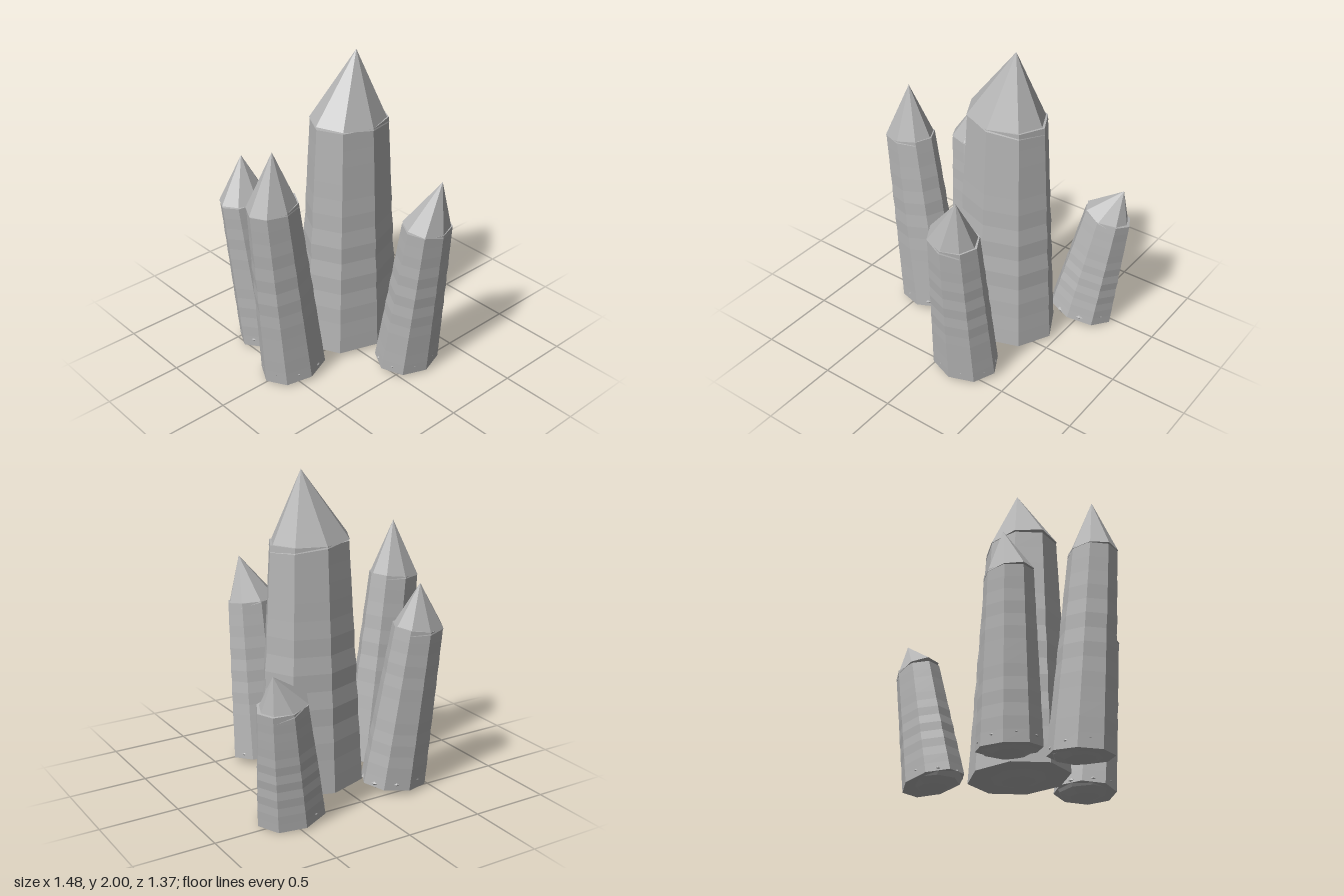
import * as THREE from 'three';

const UP = new THREE.Vector3(0, 1, 0);
const stone = new THREE.MeshStandardMaterial({ color: 0xb4b4b4, flatShading: true });
stone.name = 'grey crystal';

// base, top and tip are points; radii are along x, depth is narrower
const CRYSTALS = [
  { name: 'mainCrystal', base: [0.11, 0.03, -0.08], top: [0.115, 1.57, -0.075], tip: [0.17, 2, -0.075], rBase: 0.36, rTop: 0.265, root: [0.25, 0.2] },
  { name: 'leftCrystal', base: [-0.435, 0.03, 0], top: [-0.57, 1.255, 0.015], tip: [-0.565, 1.6, 0.02], rBase: 0.225, rTop: 0.169 },
  { name: 'backLeftCrystal', base: [-0.31, 0.035, -0.39], top: [-0.415, 1.055, -0.467], tip: [-0.4, 1.33, -0.5], rBase: 0.222, rTop: 0.169 },
  { name: 'backRightCrystal', base: [0.475, 0.035, -0.46], top: [0.578, 0.77, -0.55], tip: [0.66, 0.965, -0.59], rBase: 0.225, rTop: 0.163 },
  { name: 'frontCrystal', base: [0.165, 0.035, 0.425], top: [0.18, 1.06, 0.548], tip: [0.24, 1.35, 0.6], rBase: 0.225, rTop: 0.169 },
];
const DEPTH = 0.81;

// Tapered eight-sided column with faint growth bands
function bodyGeometry(rTop, rBase, height, phase) {
  const g = new THREE.CylinderGeometry(rTop, rBase, height, 8, 14);
  const p = g.attributes.position;
  for (let i = 0; i < p.count; i++) {
    const t = p.getY(i) / height + 0.5;
    const s = 1 + 0.012 * Math.sin(t * 40 + phase) * Math.sin(t * Math.PI);
    p.setX(i, p.getX(i) * s);
    p.setZ(i, p.getZ(i) * s * DEPTH);
  }
  return g.translate(0, height / 2, 0);
}

function makeCrystal(c, index) {
  const group = new THREE.Group();
  group.name = c.name;
  const [base, top, tip] = [c.base, c.top, c.tip].map(v => new THREE.Vector3(...v));
  const add = (name, geometry, position, axis) => {
    const mesh = new THREE.Mesh(geometry, stone);
    mesh.name = name;
    mesh.position.copy(position);
    if (axis) mesh.quaternion.setFromUnitVectors(UP, axis.normalize());
    group.add(mesh);
  };

  const axis = top.clone().sub(base);
  add('body', bodyGeometry(c.rTop, c.rBase, axis.length(), index), base, axis);

  // Pointed cap, tilted towards its tip and sunk slightly into the body
  const seat = top.clone().addScaledVector(UP, -0.012);
  const capAxis = tip.clone().sub(seat);
  const h = capAxis.length();
  const cap = new THREE.ConeGeometry(c.rTop * 1.02, h, 8).scale(1, 1, DEPTH).translate(0, h / 2, 0);
  add('cap', cap, seat, capAxis);

  // Flattened root whose corners just break through the faces
  const [rx, rz] = c.root || [0.212, 0.173];
  const root = new THREE.SphereGeometry(1, 8, 6).rotateY(Math.PI / 8).scale(rx, 0.07, rz);
  add('root', root, new THREE.Vector3(base.x, 0.07, base.z));
  return group;
}

export function createModel() {
  const model = new THREE.Group();
  model.name = 'crystalCluster';
  CRYSTALS.forEach((c, i) => model.add(makeCrystal(c, i)));
  return model;
}
